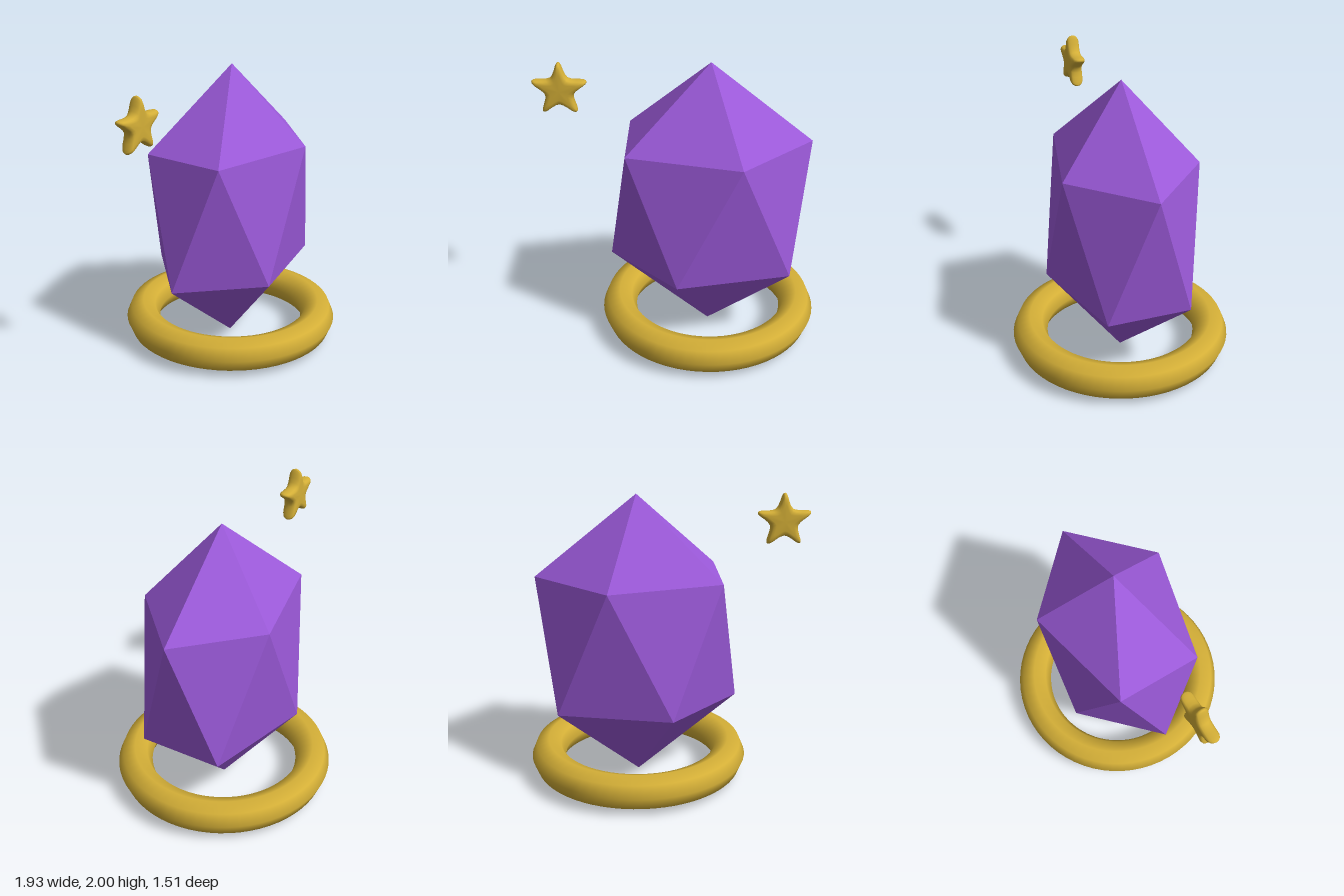
import * as THREE from 'three';
import { ConvexGeometry } from 'three/addons/geometries/ConvexGeometry.js';

// Rounded five-pointed star, lofted from scaled outlines between back and front
function starGeometry() {
  const corners = [];
  const polar = (r, a) => new THREE.Vector3(r * Math.cos(a), r * Math.sin(a), 0);
  for (let i = 0; i < 5; i++) {
    const a = Math.PI / 2 + (i * Math.PI * 2) / 5;
    corners.push(polar(0.184, a - 0.06), polar(0.19, a), polar(0.184, a + 0.06), polar(0.1, a + Math.PI / 5));
  }
  const n = 80;
  const outline = new THREE.CatmullRomCurve3(corners, true).getPoints(n).slice(0, n);
  // [scale, z]
  const half = [[1, 0], [0.975, 0.018], [0.92, 0.032], [0.82, 0.042], [0.6, 0.045], [0, 0.045]];
  const sections = [...half.slice(1).reverse().map(([s, z]) => [s, -z]), ...half];
  const pos = [], index = [];
  sections.forEach(([s, z], k) => {
    outline.forEach((p, j) => {
      pos.push(p.x * s, p.y * s, z);
      if (k === sections.length - 1) return;
      const a = k * n + j, b = k * n + ((j + 1) % n);
      if (k > 0) index.push(a, b, a + n);
      if (k < sections.length - 2) index.push(b, b + n, a + n);
    });
  });
  const g = new THREE.BufferGeometry();
  g.setAttribute('position', new THREE.Float32BufferAttribute(pos, 3));
  g.setIndex(index);
  g.computeVertexNormals();
  // the centre points carry a plain front or back normal
  const normal = g.attributes.normal;
  for (let j = 0; j < n; j++) {
    normal.setXYZ(j, 0, 0, -1);
    normal.setXYZ((sections.length - 1) * n + j, 0, 0, 1);
  }
  return g;
}

// Twenty-sided crystal: two poles and two staggered five-point rings
function crystalGeometry() {
  const points = [new THREE.Vector3(0, 2, 0), new THREE.Vector3(0, 0, 0)];
  for (let i = 0; i < 5; i++) {
    const a = (i * Math.PI * 2) / 5;
    const x = 0.687 * Math.cos(a), z = 0.494 * Math.sin(a);
    points.push(new THREE.Vector3(x, 1.447, z), new THREE.Vector3(-x, 0.553, z));
  }
  return new ConvexGeometry(points);
}

export function createModel() {
  const purple = new THREE.MeshStandardMaterial({ color: 0x9b59d9 });
  purple.name = 'crystalPurple';
  purple.flatShading = true;
  const gold = new THREE.MeshStandardMaterial({ color: 0xd4af37 });
  gold.name = 'gold';

  const model = new THREE.Group();
  const add = (name, geometry, material, x, y) => {
    const mesh = new THREE.Mesh(geometry, material);
    mesh.name = name;
    mesh.position.set(x, y, 0);
    model.add(mesh);
  };

  add('crystal', crystalGeometry(), purple, 0.21, 0);
  // Ring lying flat around the lower tip
  add('baseRing', new THREE.TorusGeometry(0.635, 0.12, 8, 64).rotateX(Math.PI / 2), gold, 0.21, 0.14);
  add('star', starGeometry(), gold, -0.785, 1.8);
  return model;
}
